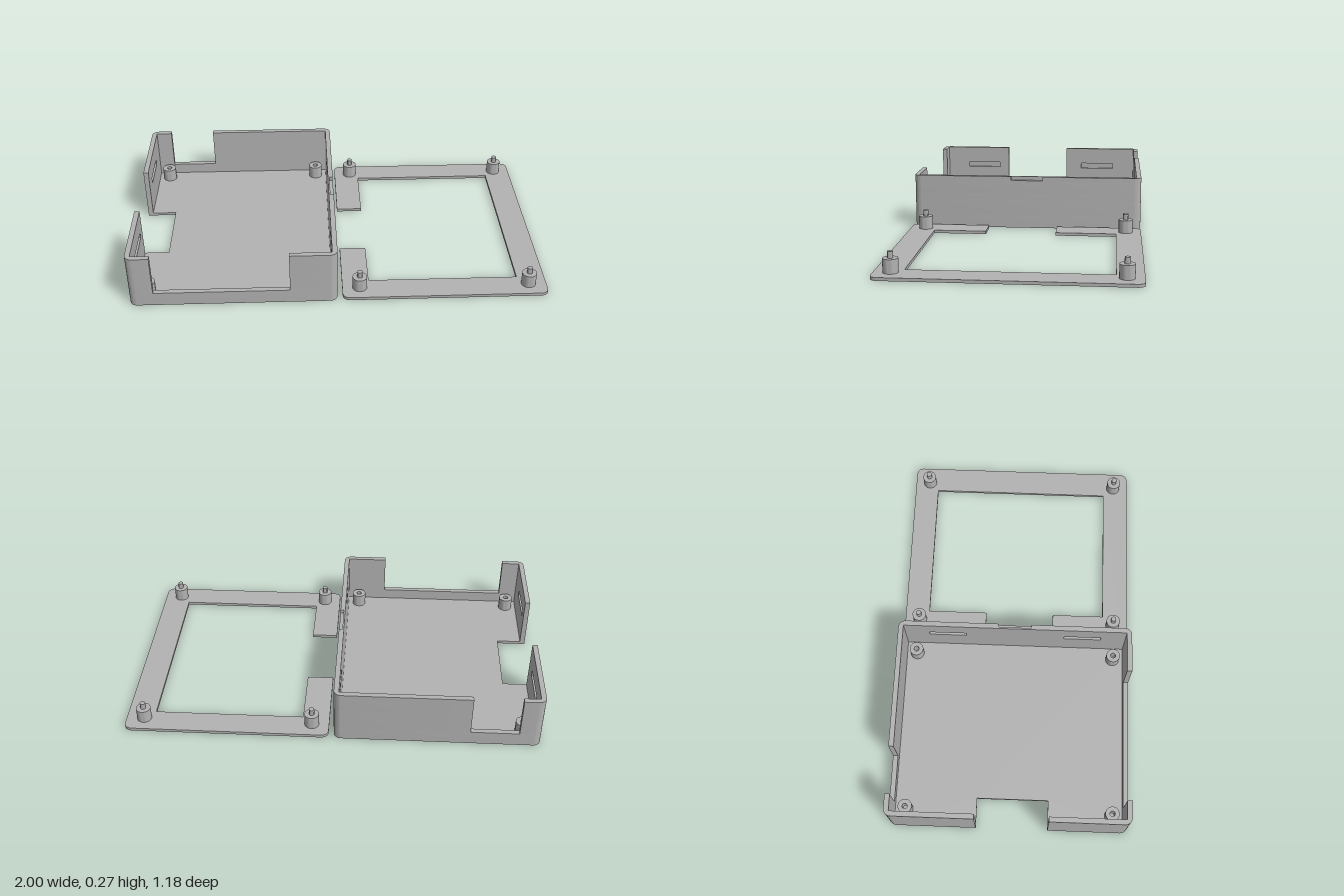
import * as THREE from 'three';
import { toCreasedNormals } from 'three/addons/utils/BufferGeometryUtils.js';

const L = -1, R = -0.015, Z = 0.59, T = 0.025, FLOOR = 0.015, H = 0.27, CORNER = 0.035;
const LI = L + T, RI = R - T, ZI = Z - T;            // inner wall faces
const NB = -0.16, NF = 0.195;                        // side cut-out along z
const SILL = 0.07;                                   // bottom of the port openings

// Closed outline from [x, z, optional corner radius] points
function outline(points, target = new THREE.Shape()) {
  const v = points.map(([x, z]) => new THREE.Vector2(x, -z));
  const n = v.length;
  points.forEach(([, , r = 0], i) => {
    const p = v[i];
    const toward = (q, d) => p.clone().add(q.clone().sub(p).setLength(d));
    const a = r ? toward(v[(i + n - 1) % n], r) : p;
    if (i === 0) target.moveTo(a.x, a.y); else target.lineTo(a.x, a.y);
    if (r) {
      const b = toward(v[(i + 1) % n], r);
      const c1 = a.clone().lerp(p, 0.5523), c2 = b.clone().lerp(p, 0.5523);
      target.bezierCurveTo(c1.x, c1.y, c2.x, c2.y, b.x, b.y);
    }
  });
  target.closePath();
  return target;
}

export function createModel() {
  const model = new THREE.Group();
  const grey = new THREE.MeshStandardMaterial({ color: 0xb2b2b2 });
  grey.name = 'grey plastic';

  const tray = new THREE.Group();
  tray.name = 'tray';
  const lid = new THREE.Group();
  lid.name = 'lid';
  model.add(tray, lid);

  function add(parent, name, geometry) {
    const mesh = new THREE.Mesh(toCreasedNormals(geometry, 0.6), grey);
    mesh.name = name;
    parent.add(mesh);
    return mesh;
  }
  function slab(parent, name, shape, y0, y1) {
    const g = new THREE.ExtrudeGeometry(shape, { depth: y1 - y0, bevelEnabled: false, curveSegments: 8 });
    g.rotateX(-Math.PI / 2).translate(0, y0, 0);
    return add(parent, name, g);
  }

  // Tray floor with the side cut-out
  slab(tray, 'trayFloor', outline([
    [L, -Z, CORNER], [R, -Z, CORNER], [R, Z, CORNER], [L, Z, CORNER],
    [L, NF], [-0.855, NF], [-0.855, NB], [L, NB],
  ]), 0, FLOOR);

  // Low wall running below the port openings
  slab(tray, 'lowerWall', outline([
    [L, NB], [L, -Z, CORNER], [R, -Z, CORNER], [R, Z, CORNER], [L, Z, CORNER], [L, NF],
    [LI, NF], [LI, ZI], [RI, ZI], [RI, -ZI], [LI, -ZI], [LI, NB],
  ]), FLOOR, SILL);

  // Inner-face recess along z, centred on zc, as outline points
  const recess = (x, depth, zc, half, dir) => [
    [x, zc - dir * half], [x + depth, zc - dir * half], [x + depth, zc + dir * half], [x, zc + dir * half],
  ];
  const SLOT = 0.345, HALF = 0.095, DEEP = 0.012;

  // Upper walls in layers: plain, slotted inside, plain, thumb notch outside
  const layers = [[SILL, 0.15], [0.15, 0.18, 'slot'], [0.18, 0.25], [0.25, H, 'notch']];
  for (const [y0, y1, cut] of layers) {
    const slot = cut === 'slot', notch = cut === 'notch';
    slab(tray, 'frontCornerWall', outline([
      [L, NF], [L, Z, CORNER], [-0.885, Z], [-0.885, ZI], [LI, ZI],
      ...(slot ? recess(LI, -DEEP, SLOT, HALF, -1) : []), [LI, NF],
    ]), y0, y1);
    slab(tray, 'backCornerWall', outline([
      [L, NB], [L, -Z, CORNER], [-0.895, -Z], [-0.895, -ZI], [LI, -ZI],
      ...(slot ? recess(LI, -DEEP, -SLOT, HALF, 1) : []), [LI, NB],
    ]), y0, y1);
    slab(tray, 'mainWall', outline([
      [-0.665, -ZI], [-0.665, -Z], [R, -Z, CORNER],
      ...(notch ? recess(R, -0.017, 0, 0.082, 1) : []),
      [R, Z, CORNER], [-0.24, Z], [-0.24, ZI], [RI, ZI],
      ...(slot ? [...recess(RI, DEEP, SLOT, HALF, -1), ...recess(RI, DEEP, -SLOT, HALF, -1)] : []),
      [RI, -ZI],
    ]), y0, y1);
  }

  // Lid frame with its large window open to the side cut-out
  slab(lid, 'lidFrame', outline([
    [0.01, -Z, CORNER], [1, -Z, CORNER], [1, Z, CORNER], [0.01, Z, CORNER],
    [0.01, NF], [0.14, NF], [0.14, 0.46], [0.865, 0.46],
    [0.865, -0.465], [0.14, -0.465], [0.14, NB], [0.01, NB],
  ]), 0, FLOOR);

  // Standoffs: sockets in the tray, matching pins on the lid
  const post = (innerY) => new THREE.LatheGeometry(
    [[0.035, FLOOR], [0.035, 0.08], [0.013, 0.08], [0.013, innerY], [0, innerY]]
      .map(([x, y]) => new THREE.Vector2(x, y)), 32);
  for (const z of [-0.512, 0.512]) {
    for (const x of [-0.918, -0.098]) add(tray, 'socketPost', post(0.02)).position.set(x, 0, z);
    for (const x of [0.094, 0.913]) add(lid, 'pinPost', post(0.11)).position.set(x, 0, z);
  }
  return model;
}
